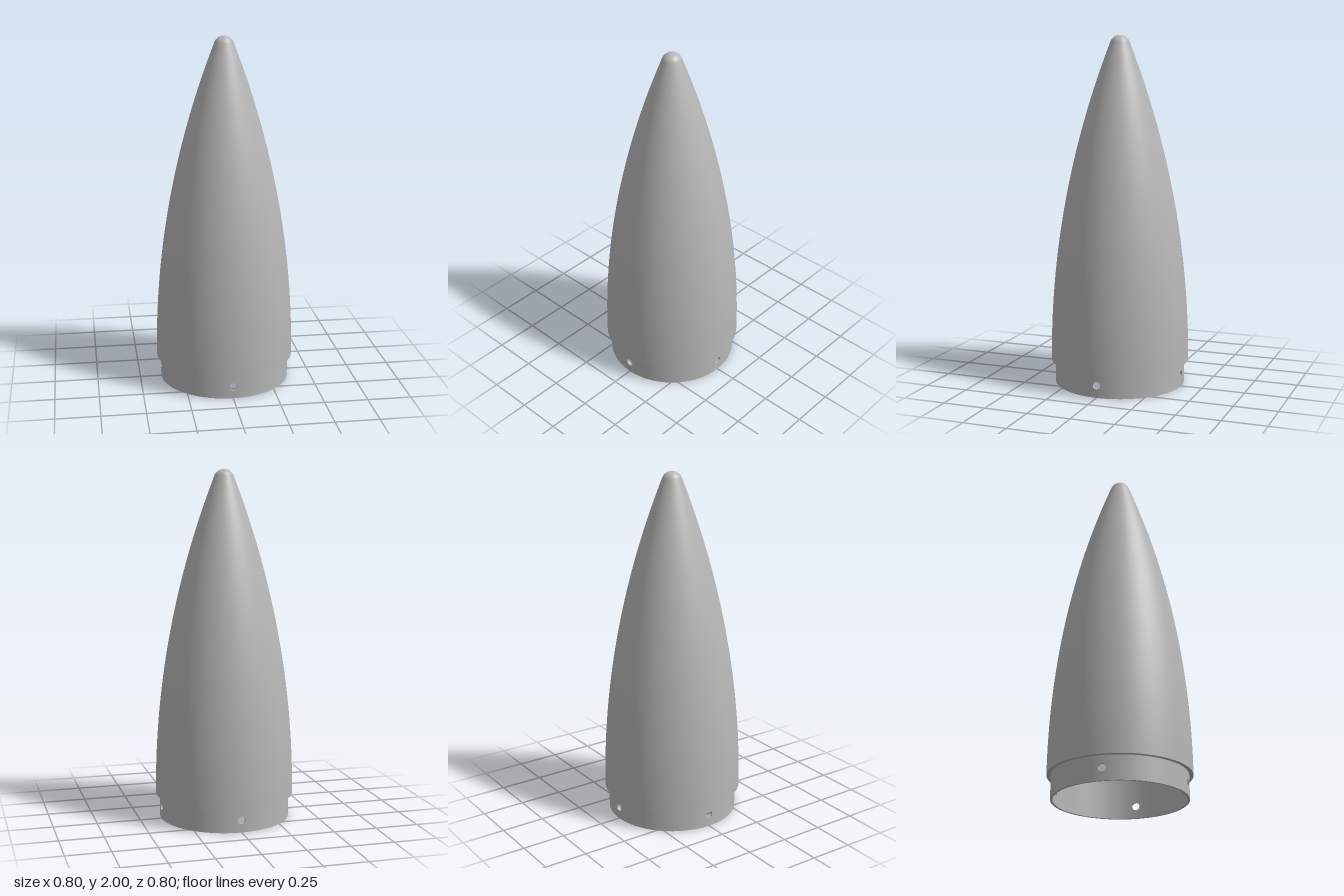
import * as THREE from 'three';
import { mergeGeometries } from 'three/addons/utils/BufferGeometryUtils.js';

const SEG = 128;
const BASE = 0.135, R = 0.398, LEN = 1.96;   // shell foot, radius, virtual ogive length
const COLLAR_OUT = 0.375, COLLAR_IN = 0.362, COLLAR_TOP = 0.2;
const HOLE_Y = 0.07, HOLE_R = 0.022, PANEL = 0.1; // PANEL: half angle of a drilled panel

// Each run is a smooth stretch of profile; separate runs keep the edges sharp
function lathe(runs, start = 0, length = Math.PI * 2, seg = SEG) {
  return mergeGeometries(runs.map(run => new THREE.LatheGeometry(
    run.map(([r, y]) => new THREE.Vector2(r, y)), seg, start, length)));
}

const rho = (R * R + LEN * LEN) / (2 * R);
const ogive = y => Math.sqrt(rho * rho - (y - BASE) ** 2) + R - rho;

function shellGeometry() {
  // Tangent ogive closed by a small rounded tip
  const tipR = 0.058, tipY = 2 - tipR, joinAngle = 0.37;
  const joinY = tipY + tipR * Math.sin(joinAngle);
  const outer = [], inner = [];
  const n = 48;
  for (let i = 0; i < n; i++) {
    const y = BASE + (joinY - BASE) * i / n;
    outer.push([ogive(y), y]);
  }
  for (let i = 0; i <= 12; i++) {
    const a = joinAngle + (Math.PI / 2 - joinAngle) * i / 12;
    outer.push([Math.max(0, tipR * Math.cos(a)), tipY + tipR * Math.sin(a)]);
  }
  // Hollow inside, listed from the top down so that it faces inward
  const innerTop = 1.95, wall = R - COLLAR_OUT;
  inner.push([0, innerTop]);
  for (let i = n; i >= 0; i--) {
    const y = BASE + (innerTop - 0.01 - BASE) * i / n;
    inner.push([ogive(y) - wall, y]);
  }
  return lathe([outer, inner, [[COLLAR_OUT, BASE], [R, BASE]]]);
}

// Flat plate with a round hole, bent about the y axis
function drilledPanel(centre) {
  const rad = COLLAR_OUT, w = PANEL * rad, shape = new THREE.Shape();
  const steps = 6;
  for (let i = 0; i <= steps; i++) {
    const x = -w + 2 * w * i / steps;
    if (i === 0) shape.moveTo(x, 0); else shape.lineTo(x, 0);
  }
  for (let i = steps; i >= 0; i--) shape.lineTo(-w + 2 * w * i / steps, COLLAR_TOP);
  shape.closePath();
  const hole = new THREE.Path();
  hole.absarc(0, HOLE_Y, HOLE_R, 0, Math.PI * 2, true);
  shape.holes.push(hole);
  const g = new THREE.ExtrudeGeometry(shape, {
    depth: COLLAR_OUT - COLLAR_IN, bevelEnabled: false, curveSegments: 16 });
  const p = g.attributes.position, nrm = g.attributes.normal;
  const v = new THREE.Vector3(), up = new THREE.Vector3(0, 1, 0);
  for (let i = 0; i < p.count; i++) {
    const a = centre + p.getX(i) / rad, r = COLLAR_IN + p.getZ(i);
    p.setXYZ(i, r * Math.sin(a), p.getY(i), r * Math.cos(a));
    v.fromBufferAttribute(nrm, i).applyAxisAngle(up, a);
    nrm.setXYZ(i, v.x, v.y, v.z);
  }
  return g;
}

export function createModel() {
  const group = new THREE.Group();
  const grey = new THREE.MeshStandardMaterial({ color: 0xb6b6b6 });
  grey.name = 'grey';
  const add = (name, geometry, parent) => {
    const mesh = new THREE.Mesh(geometry, grey);
    mesh.name = name;
    parent.add(mesh);
  };

  add('noseShell', shellGeometry(), group);

  // Shoulder collar: four drilled panels joined by plain wall arcs
  const collar = new THREE.Group();
  collar.name = 'collar';
  group.add(collar);
  const o = COLLAR_OUT, c = COLLAR_IN, t = COLLAR_TOP;
  const runs = [[[o, 0], [o, t]], [[o, t], [c, t]], [[c, t], [c, 0]], [[c, 0], [o, 0]]];
  for (let i = 0; i < 4; i++) {
    const a = i * Math.PI / 2;
    add('drilledPanel', drilledPanel(a), collar);
    add('collarWall', lathe(runs, a + PANEL, Math.PI / 2 - 2 * PANEL, 28), collar);
  }
  return group;
}
